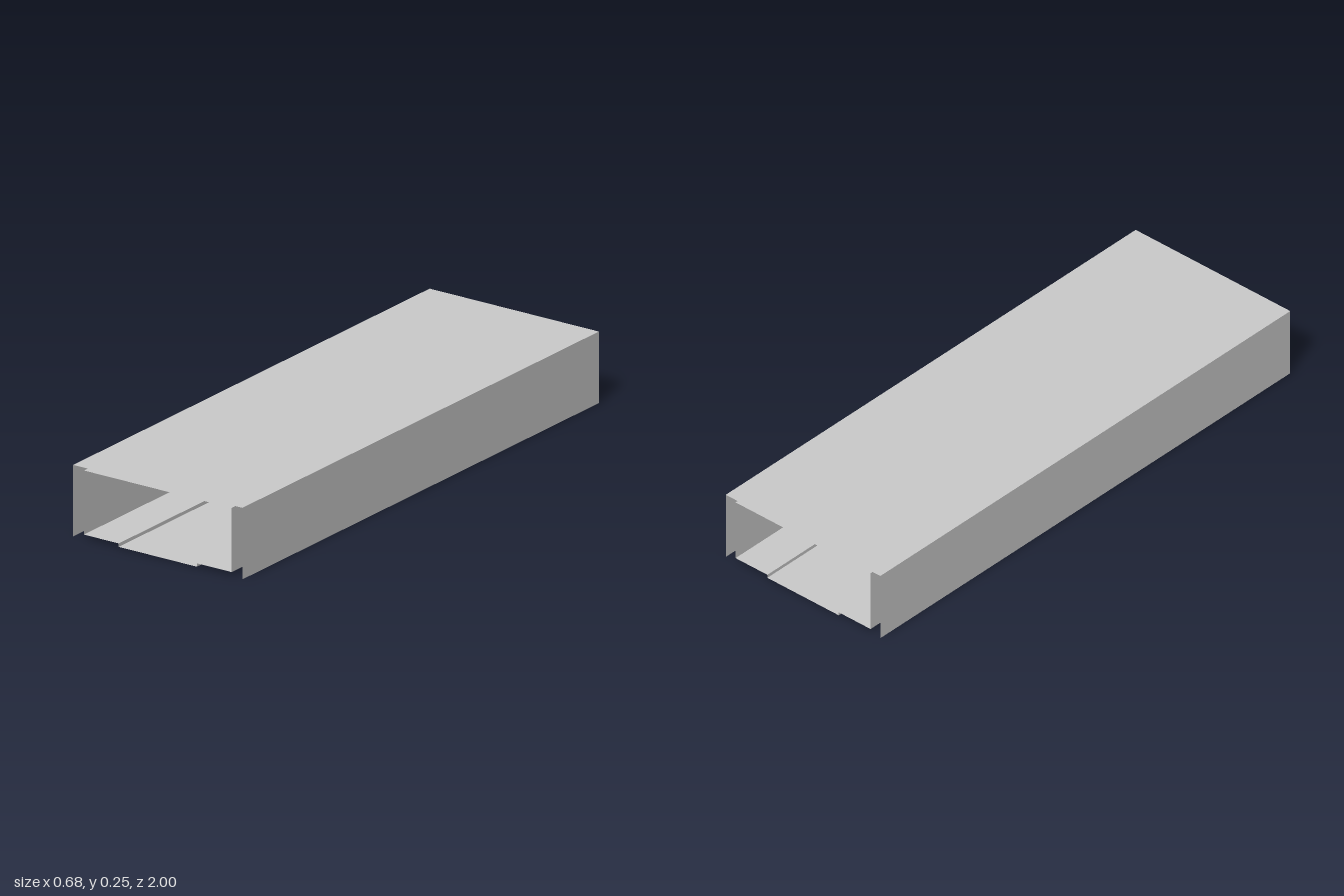
import * as THREE from 'three';

const LENGTH = 2;
const material = new THREE.MeshStandardMaterial({ color: 0xcccccc, side: THREE.DoubleSide });

// Thin sheet: folds a profile of [x, y] points along the full length in z.
function foldedSheet(name, profile) {
  const positions = [];
  for (let i = 0; i < profile.length - 1; i++) {
    const [ax, ay] = profile[i];
    const [bx, by] = profile[i + 1];
    const z = LENGTH / 2;
    positions.push(ax, ay, z, bx, by, z, bx, by, -z);
    positions.push(ax, ay, z, bx, by, -z, ax, ay, -z);
  }
  const geometry = new THREE.BufferGeometry();
  geometry.setAttribute('position', new THREE.Float32BufferAttribute(positions, 3));
  geometry.computeVertexNormals();
  const mesh = new THREE.Mesh(geometry, material);
  mesh.name = name;
  return mesh;
}

// Completes a right-half profile with its mirror image.
const mirrored = (half) => [...half, ...half.map(([x, y]) => [-x, y]).reverse()];

export function createModel() {
  const group = new THREE.Group();
  group.name = 'openEndedChannel';

  // Outer cover: flat top with two side walls, open below
  group.add(foldedSheet('outerCover', mirrored([[0.34, 0], [0.34, 0.25]])));

  // Inner duct: walls and roof just inside the cover
  const inner = new THREE.Group();
  inner.name = 'innerDuct';
  inner.add(foldedSheet('ductWallsAndRoof', mirrored([[0.297, 0.016], [0.297, 0.24]])));

  // Stepped floor: the middle strip is slightly lower than the sides
  inner.add(foldedSheet('steppedFloor', mirrored([[-0.297, 0.016], [-0.157, 0.016], [-0.157, 0.004]])));
  group.add(inner);

  return group;
}
